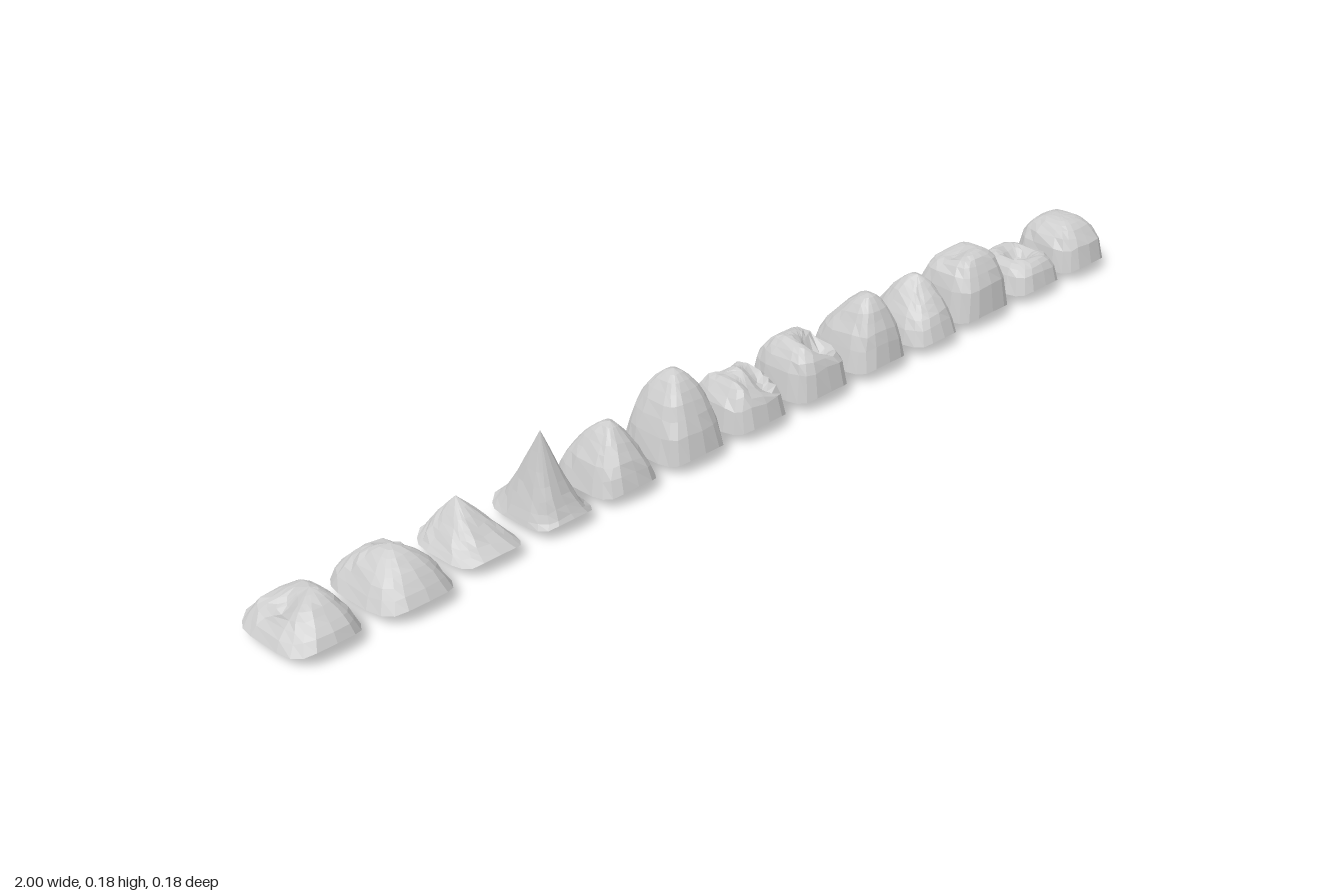
import * as THREE from 'three';

const SEGMENTS = 18, RINGS = 7, BACK = 0.087, DENT_RADIUS = 0.027;

// Height profiles: 1 - t^bulge, raised to the power wall
const PROFILES = {
  mound: { bulge: 1.6, wall: 0.82 },
  wedge: { bulge: 1.1, wall: 1.05 },
  spire: { bulge: 1.05, wall: 1.4 },
  dome: { bulge: 1.8, wall: 0.75 },
  block: { bulge: 2.7, wall: 0.6 },
};

// x: centre, top: peak height, peakX and peakZ: peak offset, dent: x, z, depth
const CAPS = [
  { shape: 'mound', x: -0.93, top: 0.085, peakX: 0.015, front: 0.082, dent: [-0.02, -0.02, 0.025] },
  { shape: 'mound', x: -0.765, top: 0.095, width: 0.15, front: 0.09, dent: [0.025, -0.03, 0.025] },
  { shape: 'wedge', x: -0.605, top: 0.092, width: 0.13, peakZ: -0.04, dent: [0, 0.03, 0.01] },
  { shape: 'spire', x: -0.452, top: 0.18, width: 0.125, peakX: -0.023, peakZ: 0.018 },
  { shape: 'mound', x: -0.31, top: 0.127, width: 0.13, dent: [0.028, 0.03, 0.01] },
  { shape: 'dome', x: -0.155, top: 0.163, peakZ: -0.01 },
  { shape: 'block', x: 0, top: 0.105, flap: 0.04, groove: 0.004, dent: [0.01, 0.035, 0.025] },
  { shape: 'block', x: 0.16, top: 0.122, peakX: -0.01, dent: [0.015, 0.015, 0.055] },
  { shape: 'dome', x: 0.318, top: 0.15, peakZ: 0.01, dent: [-0.03, -0.03, 0.008] },
  { shape: 'mound', x: 0.467, top: 0.138, width: 0.125, front: 0.072, dent: [-0.022, 0.03, 0.02] },
  { shape: 'block', x: 0.617, top: 0.142, width: 0.155, dent: [-0.02, -0.02, 0.016] },
  { shape: 'block', x: 0.782, top: 0.087, dent: [0, -0.005, 0.035] },
  { shape: 'block', x: 0.93, top: 0.11, peakZ: -0.018 },
];

// Repeatable noise between -0.5 and 0.5
function seeded(seed) {
  let s = seed * 7919 + 17;
  return () => (s = (s * 16807) % 2147483647) / 2147483647 - 0.5;
}

const signedPower = (v, e) => Math.sign(v) * Math.abs(v) ** e;

// An open shell of rings running from the peak out to a scalloped rim
function capGeometry(cap, seed) {
  const { shape, top, width = 0.14, front = 0.066, peakX = 0, peakZ = 0, flap = 0, groove = 0, dent } = cap;
  const { bulge, wall } = PROFILES[shape];
  const rand = seeded(seed);
  const positions = [], indices = [];

  const addPoint = (angle, t) => {
    const c = Math.cos(angle), s = Math.sin(angle);
    // Squarer at the back, rounder at the front
    const e = s > 0 ? 0.66 : 0.45;
    // The rim lifts between its corners, or hangs down and inward at the back as a flap
    const lift = (s > 0 ? 0.01 : 0.018) * Math.max(0, -Math.cos(2 * angle));
    const drop = flap * Math.max(0, -s - 0.9) * 10;
    const rimX = width / 2 * signedPower(c, e);
    const rimZ = (s > 0 ? front : BACK) * signedPower(s, e) + drop * 0.5;
    const rimY = Math.max(0, 0.018 + lift - drop);

    const shake = t < 1 ? 0.005 * t : 0;
    const x = THREE.MathUtils.lerp(peakX, rimX, t) + rand() * shake;
    const z = THREE.MathUtils.lerp(peakZ, rimZ, t) + rand() * shake;
    let y = rimY + (top - rimY) * (1 - t ** bulge) ** wall + rand() * shake;
    const fade = 1 - t ** 4;
    if (dent) {
      const distance = Math.hypot(x - dent[0], z - dent[1]) / DENT_RADIUS;
      y -= dent[2] * Math.exp(-distance * distance) * fade;
    }
    y += groove * Math.cos(x * 170) * fade;
    positions.push(x, Math.max(y, t < 1 ? 0.022 : 0), z);
  };

  addPoint(0, 0);
  for (let r = 1; r <= RINGS; r++)
    for (let i = 0; i < SEGMENTS; i++)
      addPoint((i + 0.5) / SEGMENTS * Math.PI * 2, (r / RINGS) ** 0.85);

  const at = (r, i) => 1 + (r - 1) * SEGMENTS + (i % SEGMENTS);
  for (let i = 0; i < SEGMENTS; i++) {
    indices.push(0, at(1, i + 1), at(1, i));
    for (let r = 1; r < RINGS; r++) {
      const a = at(r, i), b = at(r, i + 1), c = at(r + 1, i), d = at(r + 1, i + 1);
      indices.push(a, b, c, b, d, c);
    }
  }
  const geometry = new THREE.BufferGeometry();
  geometry.setAttribute('position', new THREE.Float32BufferAttribute(positions, 3));
  geometry.setIndex(indices);
  geometry.computeVertexNormals();
  return geometry;
}

export function createModel() {
  const group = new THREE.Group();
  group.name = 'toothCaps';
  const material = new THREE.MeshStandardMaterial({ color: 0xcccccc, flatShading: true, side: THREE.DoubleSide });
  CAPS.forEach((cap, i) => {
    const mesh = new THREE.Mesh(capGeometry(cap, i + 1), material);
    mesh.name = `toothCap${i + 1}`;
    mesh.position.x = cap.x;
    group.add(mesh);
  });
  return group;
}
